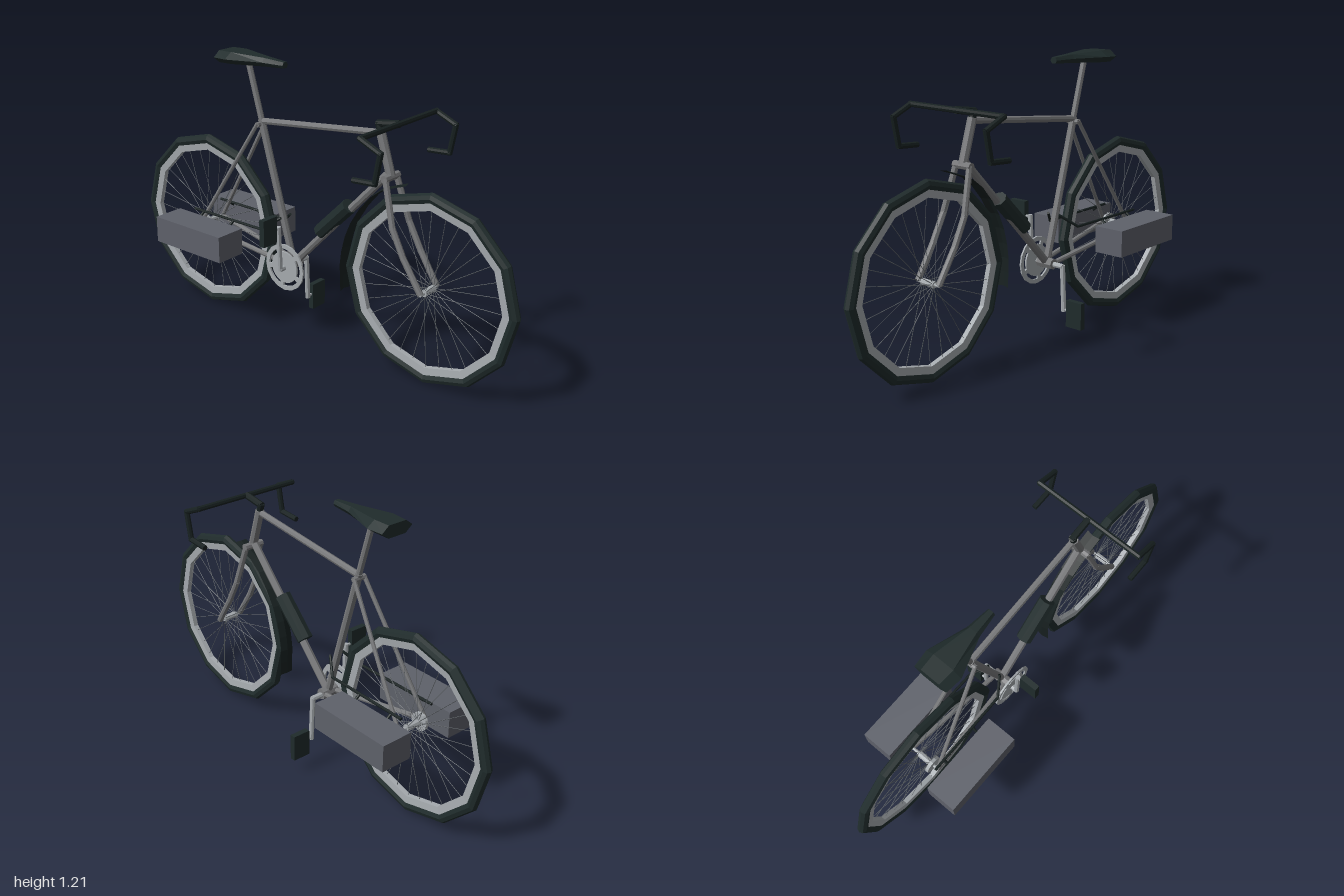
import * as THREE from 'three';

const mat = (name, color) => {
  const m = new THREE.MeshStandardMaterial({ color, flatShading: true, side: THREE.DoubleSide });
  m.name = name;
  return m;
};
const V = (x, y, z) => new THREE.Vector3(x, y, z);
const UP = V(0, 1, 0);

export function createModel() {
  const bike = new THREE.Group();
  bike.name = 'bicycle';
  const M = {
    rubber: mat('rubber', 0x1f2b2b),
    black: mat('black paint', 0x172020),
    frame: mat('frame grey', 0x77787a),
    metal: mat('light metal', 0xa6abaf),
    spoke: mat('spoke steel', 0x5f6468),
    bag: mat('pannier grey', 0x5e616a),
  };

  const add = (name, geo, material, parent = bike) => {
    const mesh = new THREE.Mesh(geo, material);
    mesh.name = name;
    parent.add(mesh);
    return mesh;
  };
  // Straight tube between two points
  const rod = (name, a, b, r, material, parent = bike, sides = 8, r2 = r) => {
    const d = b.clone().sub(a);
    const mesh = add(name, new THREE.CylinderGeometry(r2, r, d.length(), sides), material, parent);
    mesh.position.copy(a).add(b).multiplyScalar(0.5);
    mesh.quaternion.setFromUnitVectors(UP, d.normalize());
    return mesh;
  };
  // Chain of straight tubes through points, overlapping slightly at the bends
  const bent = (name, pts, r, material) => {
    const g = new THREE.Group();
    g.name = name;
    for (let i = 0; i < pts.length - 1; i++) {
      const d = pts[i + 1].clone().sub(pts[i]).normalize().multiplyScalar(r * 0.45);
      const a = i > 0 ? pts[i].clone().sub(d) : pts[i];
      const b = i < pts.length - 2 ? pts[i + 1].clone().add(d) : pts[i + 1];
      rod(name + 'Section', a, b, r, material, g);
    }
    bike.add(g);
  };

  // Wheels: twelve-sided tyre and rim, hub and spokes
  const wheel = (name, z, axle) => {
    const g = new THREE.Group();
    g.name = name;
    g.position.set(0, 0.408, z);
    const tyre = add('tyre', new THREE.TorusGeometry(0.382, 0.023, 8, 12), M.rubber, g);
    tyre.rotation.y = Math.PI / 2;
    tyre.scale.z = 0.92;
    const section = [[0.366, -0.014], [0.366, 0.014], [0.334, 0.011], [0.334, -0.011], [0.366, -0.014]];
    const rim = add('rim', new THREE.LatheGeometry(section.map(p => new THREE.Vector2(...p)), 12), M.metal, g);
    rim.rotation.z = Math.PI / 2;
    rod('hub', V(-0.035, 0, 0), V(0.035, 0, 0), 0.014, M.metal, g);
    rod('axle', V(-axle, 0, 0), V(axle, 0, 0), 0.007, M.metal, g);
    const n = 32;
    for (let i = 0; i < n; i++) {
      const a = i / n * Math.PI * 2, c = Math.cos(a), s = Math.sin(a), x = i % 2 ? 0.03 : -0.03;
      rod('spoke', V(x, s * 0.012, c * 0.012), V(0, s * 0.336, c * 0.336), 0.0014, M.spoke, g, 4);
    }
    bike.add(g);
  };
  wheel('frontWheel', 0.595, 0.06);
  wheel('rearWheel', -0.595, 0.078);

  // Main frame
  const bb = V(0, 0.33, -0.1), seatTop = V(0, 0.94, -0.275);
  const headTop = V(0, 1.01, 0.345), headLow = V(0, 0.835, 0.4);
  rod('seatTube', bb, seatTop, 0.016, M.frame);
  rod('topTube', V(0, 0.932, -0.272), V(0, 1.0, 0.348), 0.014, M.frame);
  rod('downTube', bb, V(0, 0.85, 0.395), 0.017, M.frame);
  rod('headTube', headLow, headTop, 0.019, M.frame);
  rod('seatPost', seatTop, V(0, 1.17, -0.342), 0.013, M.frame);
  rod('bottomBracket', V(-0.04, 0.33, -0.1), V(0.04, 0.33, -0.1), 0.024, M.frame);
  rod('forkCrown', V(-0.046, 0.832, 0.4), V(0.046, 0.832, 0.4), 0.016, M.frame);
  rod('stayBridge', V(-0.03, 0.92, -0.275), V(0.03, 0.92, -0.275), 0.012, M.frame);

  // Fork, stays and rack, mirrored
  for (const s of [-1, 1]) {
    bent('forkLeg', [V(s * 0.036, 0.835, 0.4), V(s * 0.056, 0.65, 0.453), V(s * 0.058, 0.54, 0.51), V(s * 0.056, 0.408, 0.595)], 0.013, M.frame);
    rod('seatStay', V(s * 0.026, 0.925, -0.275), V(s * 0.072, 0.408, -0.595), 0.009, M.frame);
    rod('chainStay', V(s * 0.028, 0.33, -0.105), V(s * 0.07, 0.405, -0.595), 0.011, M.frame);
    bent('rackRail', [V(s * 0.03, 0.535, -0.145), V(s * 0.078, 0.48, -0.215), V(s * 0.082, 0.48, -0.615)], 0.006, M.black);
    for (const z of [-0.38, -0.56]) rod('pannierHook', V(s * 0.08, 0.478, z), V(s * 0.112, 0.455, z), 0.006, M.black);
    add('pannier', new THREE.BoxGeometry(0.141, 0.116, 0.386), M.bag).position.set(s * 0.175, 0.41, -0.498);
  }

  // Handlebar with drops, and stem
  const bar = [V(0.245, 1.05, 0.435), V(0.245, 1.01, 0.528), V(0.245, 0.892, 0.505), V(0.245, 0.885, 0.405)];
  bent('handlebar', [...bar.slice().reverse(), ...bar.map(p => V(-p.x, p.y, p.z))], 0.012, M.black);
  bent('stem', [V(0, 1.0, 0.348), V(0, 1.035, 0.337), V(0, 1.05, 0.435)], 0.015, M.black);

  // Saddle lofted through hexagonal sections: z, half width, bottom, top
  const sections = [[-0.14, 0.017, 1.177, 1.202], [-0.24, 0.03, 1.172, 1.208], [-0.4, 0.083, 1.164, 1.214], [-0.472, 0.076, 1.161, 1.212]];
  const pos = [], idx = [];
  for (const [z, w, lo, hi] of sections) {
    const mid = (lo + hi) / 2, t = w * 0.56;
    for (const [x, y] of [[w, mid], [t, hi], [-t, hi], [-w, mid], [-t, lo], [t, lo]]) pos.push(x, y, z);
  }
  for (let k = 0; k < sections.length - 1; k++) {
    for (let i = 0; i < 6; i++) {
      const a = k * 6 + i, b = k * 6 + (i + 1) % 6;
      idx.push(a, a + 6, b, b, a + 6, b + 6);
    }
  }
  const last = (sections.length - 1) * 6;
  for (let i = 1; i < 5; i++) idx.push(0, i, i + 1, last, last + i + 1, last + i);
  const saddle = new THREE.BufferGeometry();
  saddle.setAttribute('position', new THREE.Float32BufferAttribute(pos, 3));
  saddle.setIndex(idx);
  saddle.computeVertexNormals();
  add('saddle', saddle, M.rubber);

  // Drinks bottle on the down tube
  const bottle = rod('bottle', V(0, 0.515, 0.05), V(0, 0.665, 0.2), 0.036, M.rubber);
  bottle.scale.z = 0.92;

  // Front mudguard: thin strip swept along a curve
  const path = new THREE.CatmullRomCurve3([
    V(0, 0.825, 0.485), V(0, 0.765, 0.345), V(0, 0.61, 0.222), V(0, 0.445, 0.172), V(0, 0.295, 0.175)]);
  const guard = new THREE.PlaneGeometry(0.062, 1, 2, 10);
  const gp = guard.attributes.position;
  for (let i = 0; i < gp.count; i++) {
    const p = path.getPoint(0.5 - gp.getY(i));
    const edge = gp.getX(i) ? 0.007 : 0;
    gp.setXYZ(i, gp.getX(i), p.y - edge * 0.4, p.z + edge);
  }
  guard.computeVertexNormals();
  add('mudguard', guard, M.black);

  // Chainring with five cut-outs, and rear sprocket
  const ring = new THREE.Shape().absarc(0, 0, 0.105, 0, Math.PI * 2);
  for (let i = 0; i < 5; i++) {
    const a = i * Math.PI * 0.4, b = a + Math.PI * 0.32;
    ring.holes.push(new THREE.Path().absarc(0, 0, 0.085, a, b, false).absarc(0, 0, 0.07, b, a, true));
  }
  const chainring = add('chainring', new THREE.ExtrudeGeometry(ring, { depth: 0.008, bevelEnabled: false, curveSegments: 8 }), M.metal);
  chainring.rotation.y = Math.PI / 2;
  chainring.position.set(-0.062, 0.33, -0.1);
  rod('sprocket', V(-0.05, 0.408, -0.595), V(-0.036, 0.408, -0.595), 0.04, M.metal, bike, 12);

  // Cranks and pedals, opposite each other
  rod('crankAxle', V(-0.09, 0.328, -0.102), V(0.09, 0.328, -0.102), 0.012, M.metal);
  for (const s of [-1, 1]) {
    const y = 0.328 - s * 0.197;
    rod('crank', V(s * 0.086, 0.328 + s * 0.005, -0.102), V(s * 0.095, y, -0.102), 0.011, M.metal);
    rod('pedalAxle', V(s * 0.09, y + s * 0.008, -0.102), V(s * 0.13, y + s * 0.008, -0.102), 0.006, M.metal);
    add('pedal', new THREE.BoxGeometry(0.081, 0.117, 0.025), M.rubber).position.set(s * 0.157, 0.326 - s * 0.197, -0.102);
  }
  return bike;
}
